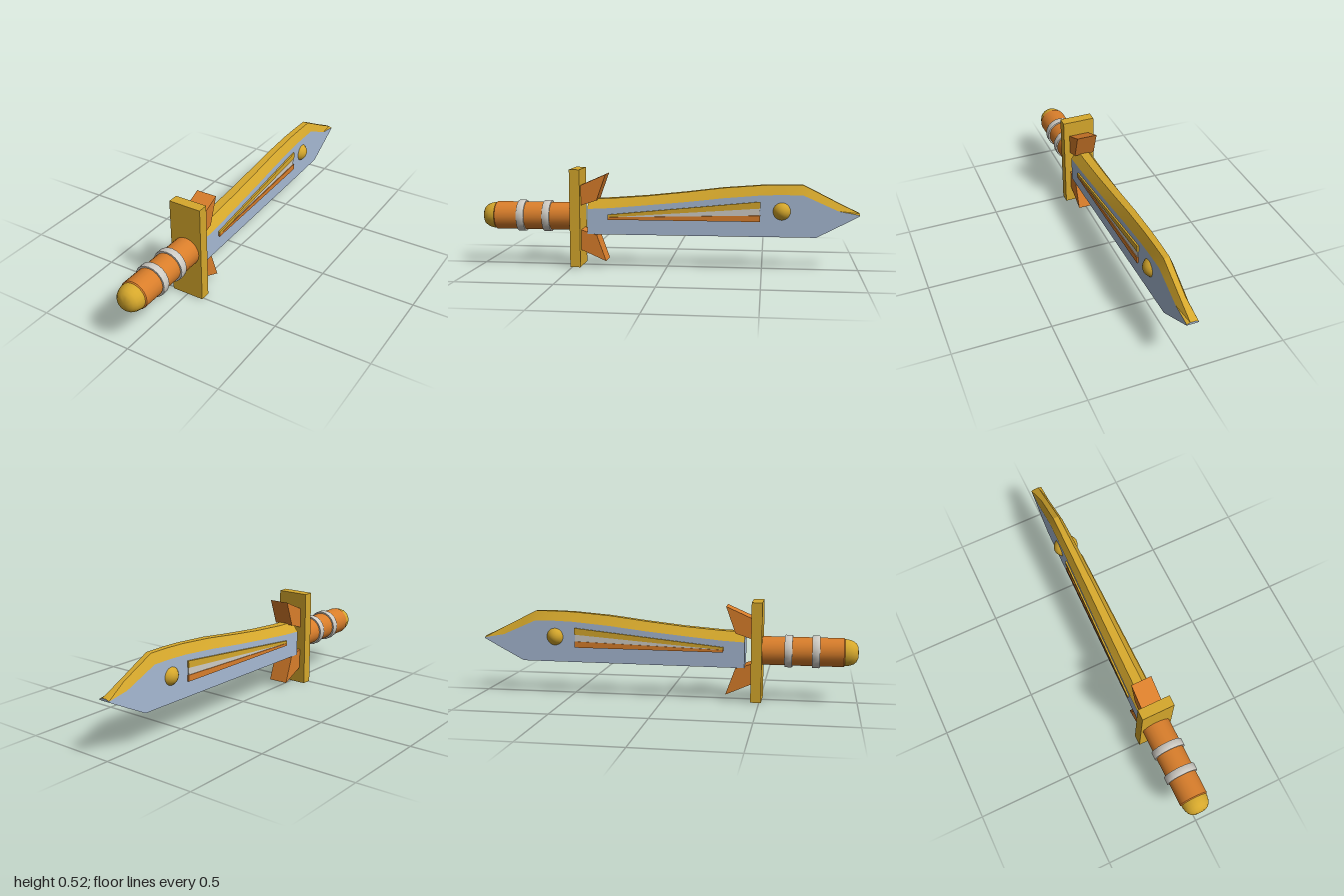
import * as THREE from 'three';
import { toCreasedNormals } from 'three/addons/utils/BufferGeometryUtils.js';

const AXIS_Y = 0.262; // height of the grip axis

function material(name, color) {
  const m = new THREE.MeshStandardMaterial({ color });
  m.name = name;
  return m;
}

// Half thickness of the blade, tapering towards the tip
const bladeHalf = (z) => 0.03 + 0.03 * (z + 1) / 1.42;

// Side outline of [z, y] points, extruded across x to a half width given by a rule
function slab(outline, halfWidth) {
  const shape = new THREE.Shape(outline.map(([z, y]) => new THREE.Vector2(z, y)));
  const g = new THREE.ExtrudeGeometry(shape, { depth: 2, bevelEnabled: false });
  g.translate(0, 0, -1).rotateY(-Math.PI / 2);
  const p = g.attributes.position;
  for (let i = 0; i < p.count; i++) p.setX(i, p.getX(i) * halfWidth(p.getZ(i)));
  g.computeVertexNormals();
  return g;
}

// Turned part along z from [radius, z] points
function turned(profile) {
  const g = new THREE.LatheGeometry(profile.map(([r, z]) => new THREE.Vector2(r, z)), 20);
  g.rotateX(Math.PI / 2).translate(0, AXIS_Y, 0);
  return toCreasedNormals(g, 0.5);
}

// Lofted blade: flat faces and underside, bevelled spine
function bladeGeometries() {
  // z, underside, bevel start, spine
  const rows = [
    [0.42, 0.175, 0.31, 0.36], [0.3, 0.175, 0.316, 0.364], [0.1, 0.175, 0.334, 0.38],
    [-0.1, 0.175, 0.353, 0.402], [-0.3, 0.175, 0.376, 0.427], [-0.5, 0.175, 0.393, 0.443],
    [-0.6, 0.175, 0.396, 0.446], [-0.71, 0.175, 0.395, 0.446], [-0.78, 0.175, 0.364, 0.411],
    [-0.89, 0.232, 0.315, 0.355], [-1, 0.29, 0.295, 0.302],
  ];
  const rings = rows.map(([z, low, mid, top]) => {
    const w = bladeHalf(z), t = w * 0.42;
    return [[w, low, z], [w, mid, z], [t, top, z], [-t, top, z], [-w, mid, z], [-w, low, z]];
  });
  const steel = [], spine = [];
  for (let r = 0; r < rings.length - 1; r++) {
    const a = rings[r], b = rings[r + 1];
    for (let i = 0; i < 6; i++) {
      const j = (i + 1) % 6;
      const target = i >= 1 && i <= 3 ? spine : steel;
      target.push(...a[i], ...b[i], ...b[j], ...a[i], ...b[j], ...a[j]);
    }
  }
  // End caps
  const first = rings[0], last = rings[rings.length - 1];
  for (let i = 1; i < 5; i++) {
    steel.push(...first[0], ...first[i], ...first[i + 1]);
    steel.push(...last[0], ...last[i + 1], ...last[i]);
  }
  return [steel, spine].map((list) => {
    const g = new THREE.BufferGeometry();
    g.setAttribute('position', new THREE.Float32BufferAttribute(list, 3));
    g.computeVertexNormals();
    return toCreasedNormals(g, 0.35);
  });
}

export function createModel() {
  const gold = material('gold', 0xd6a82c);
  const orange = material('orange', 0xd97e2b);
  const steel = material('blueSteel', 0xa6b9d3);
  const silver = material('silver', 0xcfccc5);

  const model = new THREE.Group();
  model.name = 'dagger';
  const add = (name, geometry, mat) => {
    const mesh = new THREE.Mesh(geometry, mat);
    mesh.name = name;
    model.add(mesh);
    return mesh;
  };

  // Blade
  const [body, spine] = bladeGeometries();
  add('bladeBody', body, steel);
  add('bladeSpine', spine, gold);

  // Wedge inlay showing on both faces of the blade
  const proud = (amount) => (z) => bladeHalf(z) + amount;
  add('inlayUpperBar', slab([[0.31, 0.268], [-0.49, 0.325], [-0.49, 0.36], [0.31, 0.282]], proud(0.009)), gold);
  add('inlayMiddle', slab([[0.3, 0.266], [-0.487, 0.285], [-0.487, 0.327], [0.3, 0.27]], proud(0.005)), silver);
  add('inlayLowerBar', slab([[0.31, 0.255], [-0.49, 0.255], [-0.49, 0.288], [0.31, 0.268]], proud(0.009)), orange);

  // Round stud through the blade
  const stud = add('bladeStud', new THREE.SphereGeometry(1, 24, 16), gold);
  stud.scale.set(0.067, 0.056, 0.056);
  stud.position.set(0, 0.31, -0.6);

  // Guard and its two flared fins
  const guard = add('guard', new THREE.BoxGeometry(0.174, 0.52, 0.055), gold);
  guard.position.set(0, 0.26, 0.483);
  for (const side of [1, -1]) {
    const outline = [[0.46, 0.064], [0.46, 0.171], [0.322, 0.232], [0.372, 0.093]]
      .map(([z, d]) => [z, AXIS_Y + side * d]);
    add(side > 0 ? 'upperFin' : 'lowerFin', slab(outline, () => 0.055), orange);
  }

  // Grip, rings and pommel
  add('grip', turned([[0, 0.5], [0.075, 0.5], [0.075, 0.925], [0.068, 0.932], [0, 0.932]]), orange);
  for (const z of [0.645, 0.785]) {
    add('gripRing', turned([[0.074, z - 0.02], [0.083, z - 0.02], [0.085, z - 0.015],
      [0.085, z + 0.015], [0.083, z + 0.02], [0.074, z + 0.02]]), silver);
  }
  add('pommel', turned([[0.07, 0.92], [0.07, 0.938], [0.066, 0.958], [0.059, 0.975],
    [0.047, 0.989], [0.03, 0.997], [0, 1]]), gold);

  return model;
}
